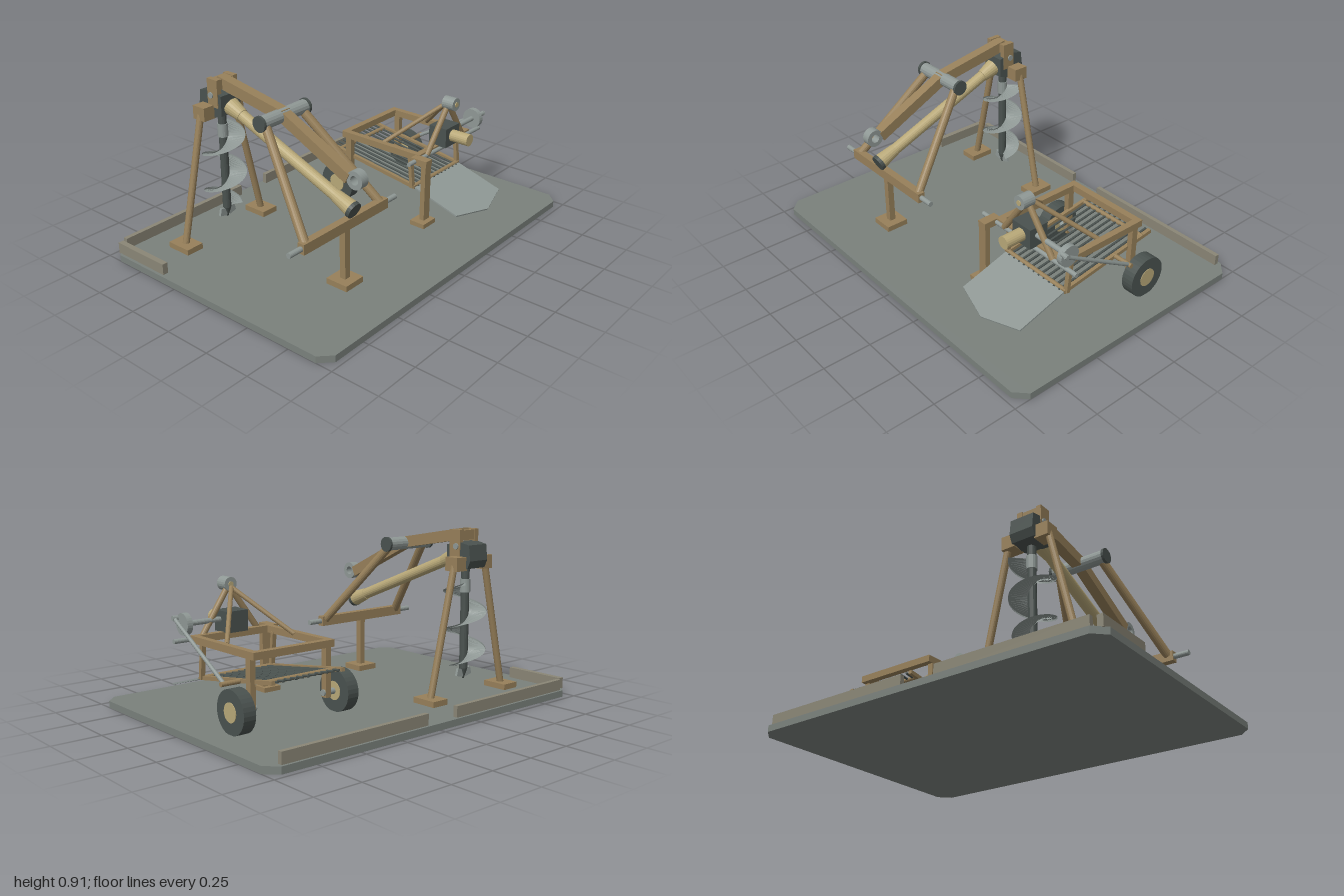
import * as THREE from 'three';

const material = (color) => new THREE.MeshStandardMaterial({ color, flatShading: true });
const wood = material(0x97805a), tan = material(0xb8a878), steel = material(0x8f9895);
const dark = material(0x4a524f), stone = material(0x7a817c), wall = material(0x8a8676);
const V = (x, y, z) => new THREE.Vector3(x, y, z);

function add(parent, name, geometry, mat) {
  const mesh = new THREE.Mesh(geometry, mat);
  mesh.name = name;
  parent.add(mesh);
  return mesh;
}

function box(parent, name, mat, w, h, d, x, y, z) {
  const mesh = add(parent, name, new THREE.BoxGeometry(w, h, d), mat);
  mesh.position.set(x, y, z);
  return mesh;
}

// Round bar between two points
function bar(parent, name, mat, a, b, r, r2 = r, sides = 16) {
  const mesh = add(parent, name, new THREE.CylinderGeometry(r2, r, a.distanceTo(b), sides), mat);
  mesh.position.copy(a).lerp(b, 0.5);
  mesh.quaternion.setFromUnitVectors(V(0, 1, 0), b.clone().sub(a).normalize());
  return mesh;
}

// Square-section beam between two points, w across and h in depth
function beam(parent, name, mat, a, b, w, h) {
  const mesh = add(parent, name, new THREE.BoxGeometry(w, h, a.distanceTo(b)), mat);
  mesh.position.copy(a).lerp(b, 0.5);
  mesh.lookAt(b);
  return mesh;
}

// Profile given as [z, y] pairs, extruded along x around centre cx
function sideProfile(parent, name, mat, shape, width, cx) {
  const g = new THREE.ExtrudeGeometry(shape, { depth: width, bevelEnabled: false, curveSegments: 24 });
  g.translate(0, 0, -width / 2).rotateY(-Math.PI / 2);
  const mesh = add(parent, name, g, mat);
  mesh.position.x = cx;
  return mesh;
}
const shapeOf = (pts) => new THREE.Shape(pts.map(([a, b]) => new THREE.Vector2(a, b)));

function helix(cx, cz, y0, y1, rIn, rOut, turns) {
  const n = 96, pos = [], idx = [];
  for (let i = 0; i <= n; i++) {
    const t = i / n, a = -t * turns * Math.PI * 2 + 0.5, y = y0 + (y1 - y0) * t;
    const r = rOut * Math.min(1, 0.75 + t * 1.2);
    for (const [rad, dy] of [[rIn, -0.004], [r, -0.004], [r, 0.004], [rIn, 0.004]])
      pos.push(cx + Math.cos(a) * rad, y + dy, cz + Math.sin(a) * rad);
    if (i < n) for (let k = 0; k < 4; k++) {
      const p = i * 4 + k, q = i * 4 + (k + 1) % 4;
      idx.push(p, q, p + 4, q, q + 4, p + 4);
    }
  }
  const g = new THREE.BufferGeometry();
  g.setAttribute('position', new THREE.Float32BufferAttribute(pos, 3));
  g.setIndex(idx);
  g.computeVertexNormals();
  return g;
}

function buildBase(root) {
  const g = new THREE.Group();
  g.name = 'base';
  root.add(g);
  const c = 0.06, X = 1, Z = 0.72;
  const slab = new THREE.ExtrudeGeometry(shapeOf([[-X + c, -Z], [X - c, -Z], [X, -Z + c], [X, Z - c],
    [X - c, Z], [-X + c, Z], [-X, Z - c], [-X, -Z + c]]), { depth: 0.035, bevelEnabled: false });
  slab.rotateX(-Math.PI / 2);
  add(g, 'groundSlab', slab, stone);
  box(g, 'rearCurbRight', wall, 0.81, 0.06, 0.024, -0.53, 0.062, -0.695);
  box(g, 'rearCurbLeft', wall, 0.86, 0.06, 0.024, 0.5, 0.062, -0.695);
  box(g, 'sideCurb', wall, 0.03, 0.06, 0.34, -0.97, 0.062, -0.515);
}

function buildAugerDigger(root) {
  const g = new THREE.Group(), cx = -0.47;
  g.name = 'augerDigger';
  root.add(g);

  // Bent boom with hitch eye
  beam(g, 'frontBoom', wood, V(cx, 0.605, 0.41), V(cx, 0.81, -0.01), 0.055, 0.055);
  beam(g, 'rearBoom', wood, V(cx, 0.805, 0.01), V(cx, 0.882, -0.425), 0.055, 0.058);
  const eye = new THREE.Shape().absarc(0.45, 0.607, 0.046, 0, Math.PI * 2);
  eye.holes.push(new THREE.Path().absarc(0.45, 0.607, 0.023, 0, Math.PI * 2, true));
  sideProfile(g, 'hitchEye', steel, eye, 0.046, cx);

  // Pivot tube and support frame
  bar(g, 'pivotTube', steel, V(cx - 0.15, 0.803, -0.005), V(cx + 0.15, 0.803, -0.005), 0.035);
  box(g, 'lowerCrossbeam', wood, 0.605, 0.053, 0.04, cx, 0.351, 0.375);
  bar(g, 'hitchPinBar', steel, V(cx - 0.383, 0.351, 0.375), V(cx + 0.383, 0.351, 0.375), 0.014);
  box(g, 'frontPost', wood, 0.034, 0.29, 0.034, cx, 0.19, 0.375);
  box(g, 'frontFoot', wood, 0.125, 0.03, 0.125, cx, 0.05, 0.375);
  for (const s of [-1, 1]) {
    bar(g, 'pivotCap', dark, V(cx + s * 0.148, 0.803, -0.005), V(cx + s * 0.162, 0.803, -0.005), 0.04);
    bar(g, 'frameLeg', wood, V(cx + s * 0.27, 0.36, 0.37), V(cx + s * 0.125, 0.795, 0), 0.023);
    bar(g, 'rearLeg', wood, V(cx + s * 0.27, 0.06, -0.457), V(cx + s * 0.11, 0.75, -0.457), 0.018);
    box(g, 'rearFoot', wood, 0.1, 0.03, 0.14, cx + s * 0.27, 0.055, -0.457);
    box(g, 'legHead', wood, 0.075, 0.07, 0.08, cx + s * 0.095, 0.735, -0.452);
    box(g, 'gearboxBracket', wood, 0.028, 0.145, 0.07, cx + s * 0.055, 0.832, -0.415);
    bar(g, 'bracketPin', steel, V(cx + s * 0.06, 0.82, -0.425), V(cx + s * 0.076, 0.82, -0.425), 0.016);
  }
  box(g, 'bracketBridge', wood, 0.13, 0.05, 0.06, cx, 0.875, -0.415);

  // Gearbox and drive shaft
  sideProfile(g, 'gearbox', dark, shapeOf([[-0.36, 0.72], [-0.43, 0.7], [-0.5, 0.71], [-0.518, 0.75],
    [-0.508, 0.83], [-0.43, 0.845], [-0.36, 0.825]]), 0.13, cx);
  const p = (t) => V(cx, 0.443 + 0.317 * t, 0.425 - 0.785 * t);
  bar(g, 'driveShaft', tan, p(0.02), p(0.96), 0.03, 0.03, 20);
  bar(g, 'lowerShaftGuard', tan, p(0.01), p(0.13), 0.042, 0.032, 20);
  bar(g, 'lowerShaftSocket', dark, p(-0.012), p(0.012), 0.043, 0.043, 20);
  bar(g, 'upperShaftGuard', tan, p(0.9), p(1), 0.033, 0.046, 20);

  // Auger
  const az = -0.43;
  bar(g, 'augerShaft', dark, V(cx, 0.18, az), V(cx, 0.71, az), 0.022);
  bar(g, 'augerCollar', steel, V(cx, 0.58, az), V(cx, 0.65, az), 0.027);
  bar(g, 'augerTip', dark, V(cx, 0.125, az), V(cx, 0.18, az), 0.004, 0.022);
  add(g, 'augerFlight', helix(cx, az, 0.19, 0.635, 0.018, 0.112, 2.2), steel);
  for (const s of [-1, 1]) {
    const tooth = box(g, 'cutterTooth', steel, 0.045, 0.04, 0.014, cx + s * 0.028, 0.158, az);
    tooth.rotation.z = s * 0.25;
  }
}

function buildRootDigger(root) {
  const g = new THREE.Group(), cx = 0.52;
  g.name = 'rootCropDigger';
  root.add(g);

  // Main frame
  for (const z of [-0.26, 0.235]) box(g, 'frameCrossbeam', wood, 0.475, 0.036, 0.036, cx, 0.39, z);
  bar(g, 'hitchBar', steel, V(0.19, 0.388, 0.255), V(0.85, 0.388, 0.255), 0.012);
  const bed = (x, t) => V(x, 0.2 + 0.083 * t, 0.2 - 0.58 * t);
  for (const s of [-1, 1]) {
    box(g, 'sideRail', wood, 0.034, 0.036, 0.53, cx + s * 0.221, 0.39, -0.012);
    box(g, 'rearPost', wood, 0.03, 0.27, 0.035, cx + s * 0.223, 0.25, -0.232);
    beam(g, 'frontPost', wood, V(cx + s * 0.213, 0.195, 0.197), V(cx + s * 0.213, 0.38, 0.178), 0.024, 0.02);
    beam(g, 'bedSideBar', wood, bed(cx + s * 0.205, -0.02), bed(cx + s * 0.205, 1), 0.02, 0.02);
    bar(g, 'hitchStrut', wood, V(cx + s * 0.17, 0.39, 0.255), V(cx, 0.635, 0.265), 0.016);
    bar(g, 'rearStrut', wood, V(cx + s * 0.2, 0.4, -0.01), V(cx, 0.625, 0.24), 0.012);
    // Wheels
    const wx = cx + s * 0.305;
    bar(g, 'tyre', dark, V(wx - 0.033, 0.14, -0.232), V(wx + 0.033, 0.14, -0.232), 0.108, 0.108, 32);
    bar(g, 'wheelHub', tan, V(wx - 0.036, 0.14, -0.232), V(wx + 0.036, 0.14, -0.232), 0.048, 0.048, 24);
    bar(g, 'axleStub', steel, V(cx + s * 0.2, 0.14, -0.232), V(wx, 0.14, -0.232), 0.016);
  }

  // Lifting bed of rods
  for (const t of [0.0, 0.9]) bar(g, 'bedCrossbar', wood, bed(cx - 0.21, t), bed(cx + 0.21, t), 0.012);
  for (let i = 0; i < 11; i++) {
    const x = cx - 0.18 + i * 0.036;
    bar(g, 'bedRod', dark, bed(x, -0.03), bed(x, 1), 0.006, 0.006, 8);
  }

  // Pointed share, sloping to the ground
  const share = new THREE.ExtrudeGeometry(shapeOf([[-0.21, 0], [-0.21, -0.3], [0, -0.365], [0.21, -0.3], [0.21, 0]]),
    { depth: 0.008, bevelEnabled: false });
  const blade = add(g, 'share', share, steel);
  blade.position.set(cx, 0.196, 0.197);
  blade.rotation.x = -Math.PI / 2 + 0.291;

  // Parking stand
  box(g, 'standPost', wood, 0.05, 0.33, 0.028, 0.265, 0.22, 0.312);
  box(g, 'standBracket', wood, 0.05, 0.036, 0.1, 0.265, 0.388, 0.28);
  box(g, 'standFoot', wood, 0.105, 0.025, 0.09, 0.253, 0.05, 0.31);

  // Hitch top and gearbox
  bar(g, 'hitchTop', steel, V(cx, 0.64, 0.245), V(cx, 0.64, 0.315), 0.036, 0.036, 20);
  bar(g, 'hitchTopPin', tan, V(cx, 0.64, 0.24), V(cx, 0.64, 0.32), 0.014);
  box(g, 'gearbox', dark, 0.125, 0.108, 0.11, cx, 0.458, 0.245);
  bar(g, 'inputShaft', tan, V(cx, 0.46, 0.28), V(cx, 0.46, 0.41), 0.033, 0.033, 20);

  // Crank drive that shakes the bed
  bar(g, 'crankShaft', steel, V(0.57, 0.468, 0.255), V(0.78, 0.468, 0.255), 0.014);
  bar(g, 'crankDisc', steel, V(0.772, 0.468, 0.255), V(0.802, 0.468, 0.255), 0.055, 0.055, 28);
  bar(g, 'crankPin', steel, V(0.79, 0.495, 0.295), V(0.83, 0.495, 0.295), 0.013);
  bar(g, 'connectingRod', steel, V(0.82, 0.5, 0.305), V(0.82, 0.247, -0.13), 0.01);
  bar(g, 'rodPin', wood, V(0.72, 0.247, -0.13), V(0.84, 0.247, -0.13), 0.012);
}

export function createModel() {
  const root = new THREE.Group();
  root.name = 'farmDiggers';
  buildBase(root);
  buildAugerDigger(root);
  buildRootDigger(root);
  return root;
}
